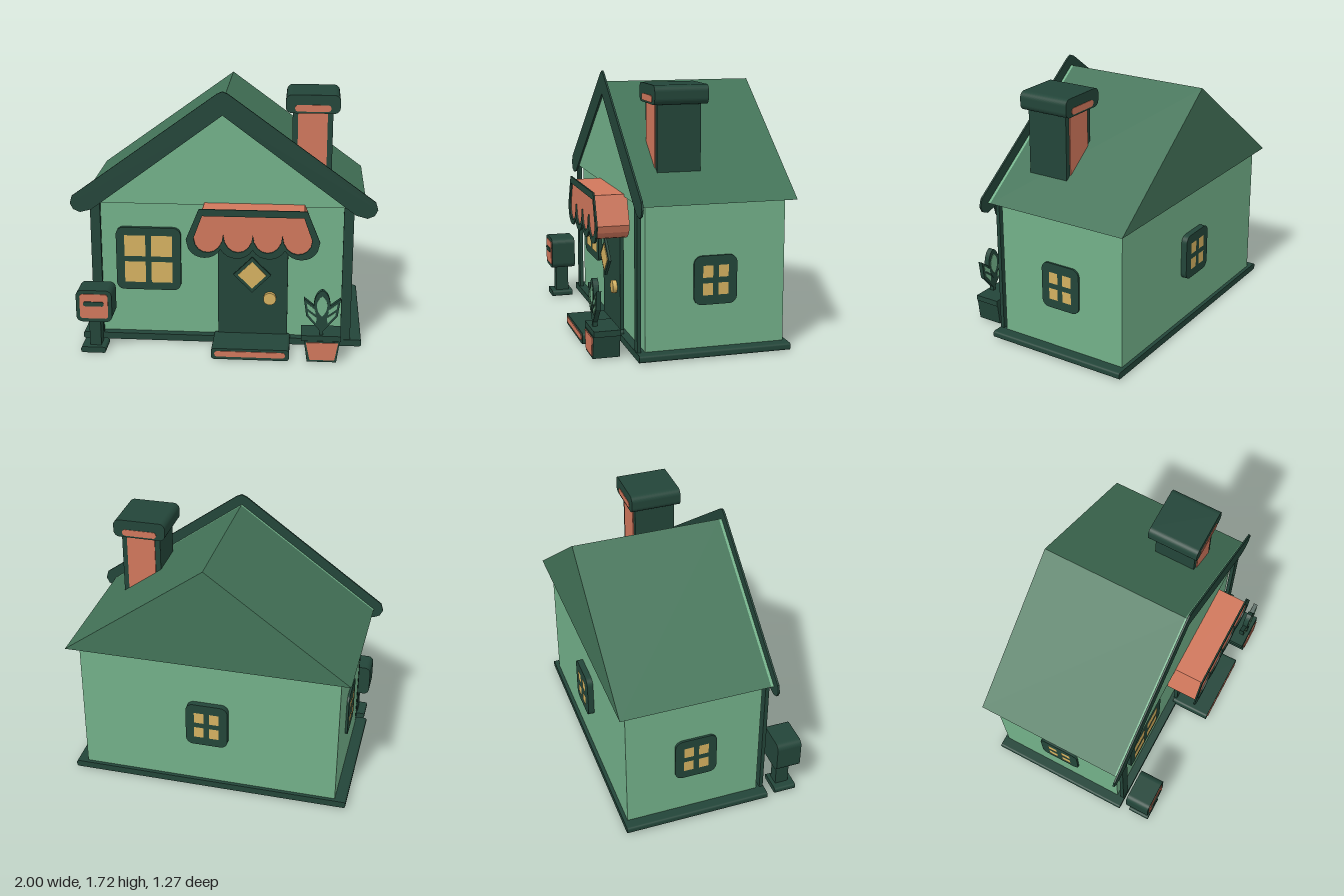
import * as THREE from 'three';

const mat = (name, color) => {
  const m = new THREE.MeshStandardMaterial({ color });
  m.name = name;
  return m;
};

export function createModel() {
  const house = new THREE.Group();
  house.name = 'cottage';
  const wall = mat('sage green', 0x72b089);
  const roofGreen = mat('roof green', 0x437358);
  const dark = mat('dark green', 0x234539);
  const clay = mat('terracotta', 0xd0775c);
  const gold = mat('window gold', 0xd4b160);

  const add = (name, geo, material, parent = house) => {
    const m = new THREE.Mesh(geo, material);
    m.name = name;
    parent.add(m);
    return m;
  };
  // Outline in x,y extruded from z0 to z1
  const slab = (name, shape, z0, z1, material, parent) => {
    const g = new THREE.ExtrudeGeometry(shape, { depth: z1 - z0, bevelEnabled: false, curveSegments: 8 });
    g.translate(0, 0, z0);
    return add(name, g, material, parent);
  };
  const poly = (pts) => new THREE.Shape(pts.map(([x, y]) => new THREE.Vector2(x, y)));
  const box = (name, x0, x1, y0, y1, z0, z1, material, parent) => {
    const g = new THREE.BoxGeometry(x1 - x0, y1 - y0, z1 - z0);
    g.translate((x0 + x1) / 2, (y0 + y1) / 2, (z0 + z1) / 2);
    return add(name, g, material, parent);
  };
  const rounded = (x0, x1, y0, y1, r) => {
    const s = new THREE.Shape();
    s.moveTo(x0 + r, y0);
    s.lineTo(x1 - r, y0);
    s.absarc(x1 - r, y0 + r, r, -Math.PI / 2, 0);
    s.lineTo(x1, y1 - r);
    s.absarc(x1 - r, y1 - r, r, 0, Math.PI / 2);
    s.lineTo(x0 + r, y1);
    s.absarc(x0 + r, y1 - r, r, Math.PI / 2, Math.PI);
    s.lineTo(x0, y0 + r);
    s.absarc(x0 + r, y0 + r, r, Math.PI, Math.PI * 1.5);
    return s;
  };

  // Floor, walls and corner posts
  slab('floorBase', rounded(-0.945, 0.925, 0.005, 0.05, 0.015), -0.61, 0.375, dark);
  box('walls', -0.87, 0.85, 0.05, 0.975, -0.585, 0.32, wall);
  box('rightCornerPost', -0.87, -0.805, 0.05, 0.97, 0.345, 0.37, dark);
  box('leftCornerPost', 0.785, 0.85, 0.05, 0.97, 0.345, 0.37, dark);

  // Roof prism, front gable and bargeboard
  const gable = poly([[-0.937, 0.97], [0.93, 0.97], [0, 1.65]]);
  slab('roof', gable, -0.635, 0.35, roofGreen);
  slab('frontGable', gable, 0.35, 0.368, wall);
  const edge = [[0.035, 1.705], [0.985, 1.015], [1, 0.965], [0.98, 0.925], [0.935, 0.905], [0.86, 0.925]];
  const mirrored = edge.map(([x, y]) => [-x, y]).reverse();
  slab('bargeboard', poly([[0, 1.72], ...edge, [0, 1.567], ...mirrored]), 0.368, 0.38, dark);

  // Chimney with clay faces and a rounded cap
  box('chimneyStack', 0.44, 0.7, 1.13, 1.57, -0.08, 0.2, dark);
  box('chimneyFaces', 0.475, 0.665, 1.15, 1.555, -0.087, 0.207, clay);
  slab('chimneyCap', rounded(0.395, 0.745, 1.555, 1.675, 0.04), -0.115, 0.228, dark);
  slab('chimneyCapPanel', rounded(0.455, 0.685, 1.567, 1.61, 0.02), -0.118, 0.232, clay);

  // Four-pane window, centred on its own origin and facing +z
  const makeWindow = (name, w, h, r, pane, bar, depth) => {
    const g = new THREE.Group();
    g.name = name;
    slab('windowFrame', rounded(-w / 2, w / 2, -h / 2, h / 2, r), -0.005, depth, dark, g);
    for (const sx of [-1, 1]) for (const sy of [-1, 1]) {
      const p = new THREE.PlaneGeometry(pane[0], pane[1]);
      p.translate(sx * (pane[0] + bar) / 2, sy * (pane[1] + bar) / 2, depth + 0.003);
      add('windowPane', p, gold, g);
    }
    house.add(g);
    return g;
  };
  makeWindow('frontWindow', 0.43, 0.435, 0.05, [0.14, 0.145], 0.038, 0.026).position.set(-0.495, 0.577, 0.32);
  const small = [0.28, 0.31, 0.05, [0.065, 0.076], 0.036];
  const leftWin = makeWindow('leftWindow', ...small, 0.012);
  leftWin.position.set(0.85, 0.48, -0.13);
  leftWin.rotation.y = Math.PI / 2;
  const rightWin = makeWindow('rightWindow', ...small, 0.015);
  rightWin.position.set(-0.87, 0.48, -0.12);
  rightWin.rotation.y = -Math.PI / 2;
  const backWin = makeWindow('backWindow', ...small, 0.04);
  backWin.position.set(-0.01, 0.513, -0.585);
  backWin.rotation.y = Math.PI;

  // Door, diamond light, knob and step
  box('door', -0.03, 0.43, 0.05, 0.78, 0.345, 0.37, dark);
  const diamond = (r) => poly([[0.197, 0.51 - r], [0.197 + r, 0.51], [0.197, 0.51 + r], [0.197 - r, 0.51]]);
  slab('diamondFrame', diamond(0.123), 0.4, 0.417, dark);
  slab('diamondGlass', diamond(0.093), 0.417, 0.421, gold);
  const knob = new THREE.CylinderGeometry(0.042, 0.042, 0.03, 20);
  knob.rotateX(Math.PI / 2);
  knob.translate(0.313, 0.335, 0.383);
  add('doorKnob', knob, gold);
  slab('doorStep', rounded(-0.057, 0.45, 0, 0.075, 0.02), 0.35, 0.625, dark);
  slab('stepPanel', rounded(-0.035, 0.425, 0.02, 0.058, 0.018), 0.625, 0.63, clay);

  // Awning: outer scalloped outline, and an opening of four petals
  const scalloped = (top, halfTop, side, halfSide, foot, low) => {
    const s = new THREE.Shape(), c = 0.207, n = 4, hw = halfSide - 0.015, w = (2 * hw) / n;
    s.moveTo(c - halfTop, top);
    s.lineTo(c - halfSide, side);
    s.lineTo(c - hw, foot);
    for (let i = 0; i < n; i++) {
      const x = c - hw + i * w;
      s.bezierCurveTo(x + w * 0.2, low, x + w * 0.8, low, x + w, foot);
    }
    s.lineTo(c + halfSide, side);
    s.lineTo(c + halfTop, top);
    return s;
  };
  const petals = new THREE.Path();
  petals.moveTo(-0.115, 0.96);
  petals.lineTo(-0.17, 0.81);
  for (let i = 0; i < 4; i++) {
    const x = -0.17 + i * 0.1885, w = 0.1885;
    petals.bezierCurveTo(x + 0.005, 0.68, x + w - 0.005, 0.68, x + w, i < 3 ? 0.84 : 0.81);
  }
  petals.lineTo(0.53, 0.96);
  slab('awningBody', scalloped(0.985, 0.325, 0.8, 0.397, 0.755, 0.685), 0.35, 0.56, clay);
  const trim = scalloped(1.005, 0.343, 0.8, 0.427, 0.74, 0.66);
  trim.holes.push(petals);
  slab('awningTrim', trim, 0.56, 0.57, dark);

  // Mailbox on a post
  slab('mailboxFoot', rounded(-0.92, -0.755, 0, 0.04, 0.015), 0.44, 0.59, dark);
  box('mailboxPost', -0.865, -0.79, 0.03, 0.24, 0.465, 0.555, dark);
  slab('mailboxBody', rounded(-0.94, -0.705, 0.225, 0.443, 0.04), 0.43, 0.597, dark);
  slab('mailboxPanel', rounded(-0.915, -0.73, 0.25, 0.418, 0.02), 0.597, 0.602, clay);
  slab('mailboxSlot', rounded(-0.89, -0.757, 0.337, 0.367, 0.012), 0.602, 0.609, dark);

  // Flower pot
  slab('pot', poly([[0.565, 0.005], [0.755, 0.005], [0.775, 0.15], [0.545, 0.15]]), 0.457, 0.628, dark);
  slab('potPanel', poly([[0.583, 0.02], [0.742, 0.02], [0.765, 0.14], [0.557, 0.14]]), 0.628, 0.634, clay);
  box('potRim', 0.525, 0.783, 0.147, 0.185, 0.455, 0.625, dark);

  // Plant: stem, tall leaf and two side leaves with green insets on both faces
  const cx = 0.656;
  box('plantStem', cx - 0.011, cx + 0.011, 0.18, 0.32, 0.575, 0.605, dark);
  const leaf = (w, y0, y1) => {
    const s = new THREE.Shape(), m = (y0 + y1) / 2 + 0.01;
    s.moveTo(cx, y0);
    s.quadraticCurveTo(cx + w, m - 0.05, cx + w, m);
    s.quadraticCurveTo(cx + w * 0.9, y1 - 0.02, cx, y1);
    s.quadraticCurveTo(cx - w * 0.9, y1 - 0.02, cx - w, m);
    s.quadraticCurveTo(cx - w, m - 0.05, cx, y0);
    return s;
  };
  slab('tallLeaf', leaf(0.053, 0.27, 0.492), 0.572, 0.608, dark);
  slab('tallLeafInset', leaf(0.033, 0.315, 0.455), 0.569, 0.611, wall);
  for (const s of [-1, 1]) {
    const side = (pts) => {
      const p = pts.map(([x, y]) => [cx + s * x, y]);
      return poly(s < 0 ? p.reverse() : p);
    };
    slab('sideLeaf', side([[0, 0.2], [0.1, 0.315], [0.118, 0.437], [0.02, 0.36], [0, 0.26]]), 0.575, 0.605, dark);
    slab('sideLeafInset', side([[0.036, 0.265], [0.086, 0.322], [0.09, 0.348], [0.034, 0.305]]), 0.572, 0.608, wall);
    slab('sideLeafInset', side([[0.04, 0.326], [0.092, 0.366], [0.099, 0.405], [0.042, 0.358]]), 0.572, 0.608, wall);
  }
  return house;
}
